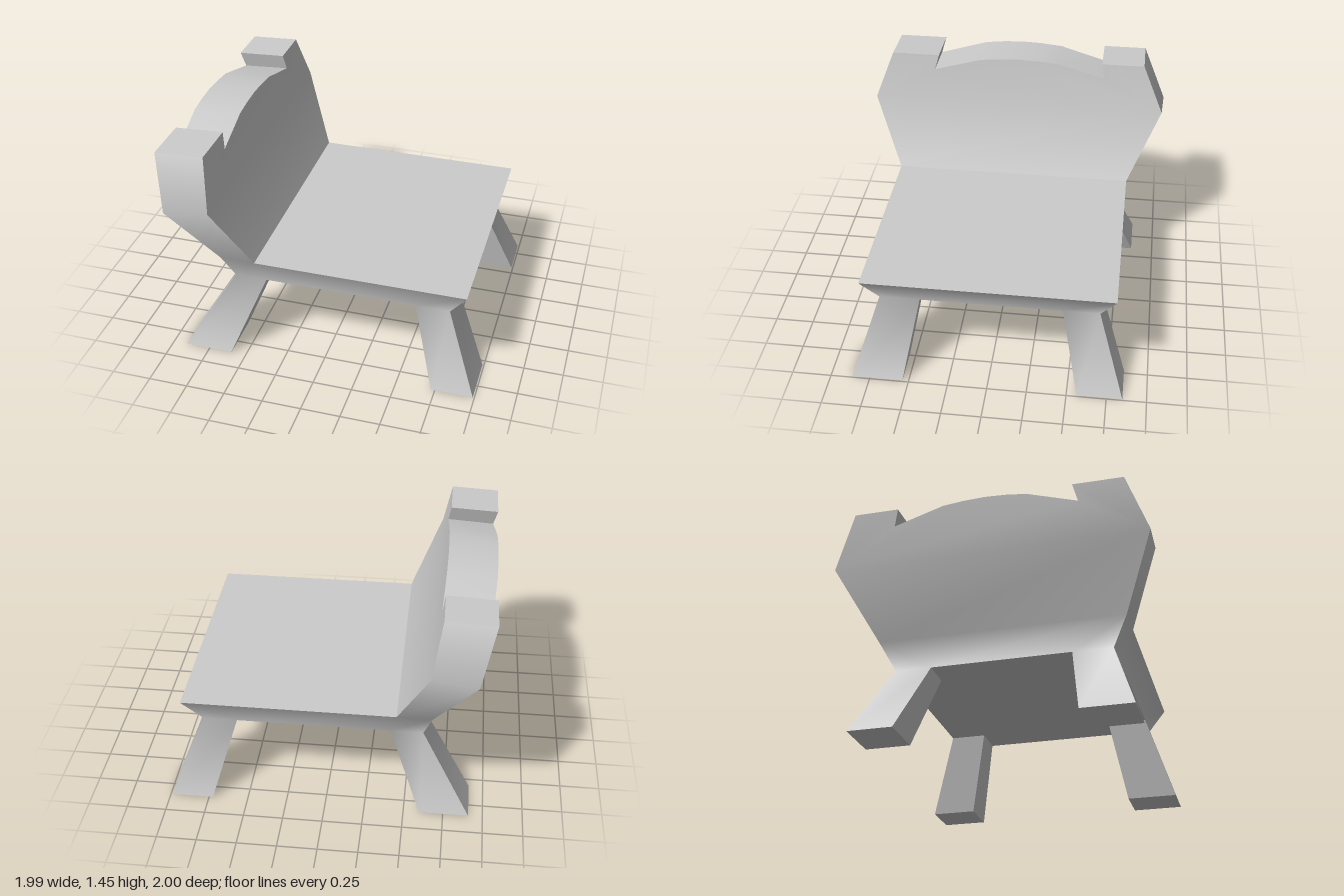
import * as THREE from 'three';
import { toCreasedNormals } from 'three/addons/utils/BufferGeometryUtils.js';

// Heights
const Y_SEAT = 0.69, Y_UNDER = 0.505, Y_BEND = 1.13, Y_TOP = 1.445;

// Seat outline at its top, and leg lines at its underside and on the floor
const TOP_X = [-0.655, 0.905], TOP_Z = [-0.78, 0.795], SEAT_BACK_X = -0.435;
const UNDER_X = [-0.6, -0.395, 0.575, 0.79], UNDER_Z = [-0.68, -0.45, 0.445, 0.7];
const FOOT_X = [-0.91, -0.6, 0.725, 0.99], FOOT_Z = [-0.85, -0.565, 0.54, 0.863];

const v = (x, y, z) => new THREE.Vector3(x, y, z);

// Collects a convex face as a fan of triangles, wound in the given order
function addFace(list, points) {
  for (let i = 1; i < points.length - 1; i++) {
    for (const p of [points[0], points[i], points[i + 1]]) list.push(p.x, p.y, p.z);
  }
}

// Same, but turned to face away from an inner point
function addOuterFace(list, points, inner) {
  const normal = new THREE.Vector3();
  new THREE.Triangle(points[0], points[1], points[2]).getNormal(normal);
  const outward = points[1].clone().sub(inner);
  addFace(list, normal.dot(outward) < 0 ? [...points].reverse() : points);
}

function seat() {
  const list = [];
  const inner = v(0.1, 0.6, 0);
  const add = (...points) => addOuterFace(list, points, inner);
  const top = (x, z) => v(x, Y_SEAT, z);
  const under = (i, j) => v(UNDER_X[i], Y_UNDER, UNDER_Z[j]);
  const [x0, x1] = TOP_X, [z0, z1] = TOP_Z;

  // Sitting surface
  add(top(SEAT_BACK_X, z0), top(x1, z0), top(x1, z1), top(SEAT_BACK_X, z1));

  // Sloping aprons along the two long sides
  for (const [z, j] of [[z0, 0], [z1, 3]]) {
    add(top(x0, z), top(SEAT_BACK_X, z), under(1, j), under(0, j));
    add(top(SEAT_BACK_X, z), top(x1, z), under(2, j), under(1, j));
    add(top(x1, z), under(3, j), under(2, j));
  }

  // Sloping aprons at the two ends
  for (const [x, i] of [[x0, 0], [x1, 3]]) {
    add(top(x, z0), under(i, 1), under(i, 0));
    add(top(x, z0), top(x, z1), under(i, 2), under(i, 1));
    add(top(x, z1), under(i, 3), under(i, 2));
  }

  // Underside, left open where the legs join
  for (let i = 0; i < 3; i++) {
    for (let j = 0; j < 3; j++) {
      if (i !== 1 && j !== 1) continue;
      add(under(i, j), under(i + 1, j), under(i + 1, j + 1), under(i, j + 1));
    }
  }
  return list;
}

// Splayed four-sided leg; i and j pick its first x and z line
function leg(i, j) {
  const list = [];
  const corners = [[i, j], [i + 1, j], [i + 1, j + 1], [i, j + 1]];
  const upper = corners.map(([a, b]) => v(UNDER_X[a], Y_UNDER, UNDER_Z[b]));
  const foot = corners.map(([a, b]) => v(FOOT_X[a], 0, FOOT_Z[b]));
  const inner = v(0, 0, 0);
  for (const p of [...upper, ...foot]) inner.addScaledVector(p, 1 / 8);
  for (let k = 0; k < 4; k++) {
    const n = (k + 1) % 4;
    addOuterFace(list, [upper[k], upper[n], foot[n], foot[k]], inner);
  }
  addOuterFace(list, foot, inner);
  return list;
}

// Front and rear surface of the upper back, from an outline point (z, y)
const rise = (p) => (p.y - Y_BEND) / (Y_TOP - Y_BEND);
const frontPoint = (p) => v(-0.635 - 0.055 * rise(p), p.y, p.x);
const rearPoint = (p) =>
  v(-0.915 - 0.083 * rise(p), 1.1 + 0.33 * rise(p), p.x * (1 + 0.012 * (1 - rise(p))));

// Upper back: two posts with a notch beside each and an arch between
function upperBack() {
  const list = [];
  const outline = [
    [-0.988, Y_BEND], [0.985, Y_BEND], [0.865, Y_TOP], [0.547, Y_TOP], [0.574, 1.345],
    [0.26, 1.428], [0.13, 1.44], [0, Y_TOP], [-0.13, 1.44], [-0.27, 1.428],
    [-0.59, 1.345], [-0.567, Y_TOP], [-0.85, Y_TOP],
  ].map(([z, y]) => new THREE.Vector2(z, y));
  const front = outline.map(frontPoint), rear = outline.map(rearPoint);
  for (const [a, b, c] of THREE.ShapeUtils.triangulateShape(outline, [])) {
    addFace(list, [rear[a], rear[b], rear[c]]);
    addFace(list, [front[c], front[b], front[a]]);
  }
  // Edge walls; the first edge joins the lower back and stays open
  for (let k = 1; k < outline.length; k++) {
    const n = (k + 1) % outline.length;
    addFace(list, [front[k], front[n], rear[n], rear[k]]);
  }
  return list;
}

// Lower back: flares from the seat up to the bend
function lowerBack() {
  const list = [];
  const ends = [-0.988, 0.985].map((z) => new THREE.Vector2(z, Y_BEND));
  const [z0, z1] = TOP_Z;
  const ring = (xRear, xFront) => [
    v(xRear, Y_SEAT, z0), v(xFront, Y_SEAT, z0), v(xFront, Y_SEAT, z1), v(xRear, Y_SEAT, z1),
  ];
  const low = ring(TOP_X[0], SEAT_BACK_X);
  const high = [rearPoint(ends[0]), frontPoint(ends[0]), frontPoint(ends[1]), rearPoint(ends[1])];
  for (let k = 0; k < 4; k++) {
    const n = (k + 1) % 4;
    addOuterFace(list, [low[k], low[n], high[n], high[k]], v(-0.66, 0.9, 0));
  }
  return list;
}

export function createModel() {
  const parts = [
    ['seat', seat()],
    ['lowerBack', lowerBack()],
    ['upperBack', upperBack()],
    ['rearRightLeg', leg(0, 0)],
    ['rearLeftLeg', leg(0, 2)],
    ['frontRightLeg', leg(2, 0)],
    ['frontLeftLeg', leg(2, 2)],
  ];

  // Shade all parts as one skin so they flow into each other
  const skin = new THREE.BufferGeometry();
  skin.setAttribute('position', new THREE.Float32BufferAttribute(parts.flatMap((p) => p[1]), 3));
  const normals = toCreasedNormals(skin, THREE.MathUtils.degToRad(58)).attributes.normal.array;

  const material = new THREE.MeshStandardMaterial({ color: 0xcccccc });
  const group = new THREE.Group();
  group.name = 'chair';
  let start = 0;
  for (const [name, list] of parts) {
    const geometry = new THREE.BufferGeometry();
    geometry.setAttribute('position', new THREE.Float32BufferAttribute(list, 3));
    geometry.setAttribute('normal',
      new THREE.Float32BufferAttribute(normals.slice(start, start + list.length), 3));
    start += list.length;
    const mesh = new THREE.Mesh(geometry, material);
    mesh.name = name;
    group.add(mesh);
  }
  return group;
}
